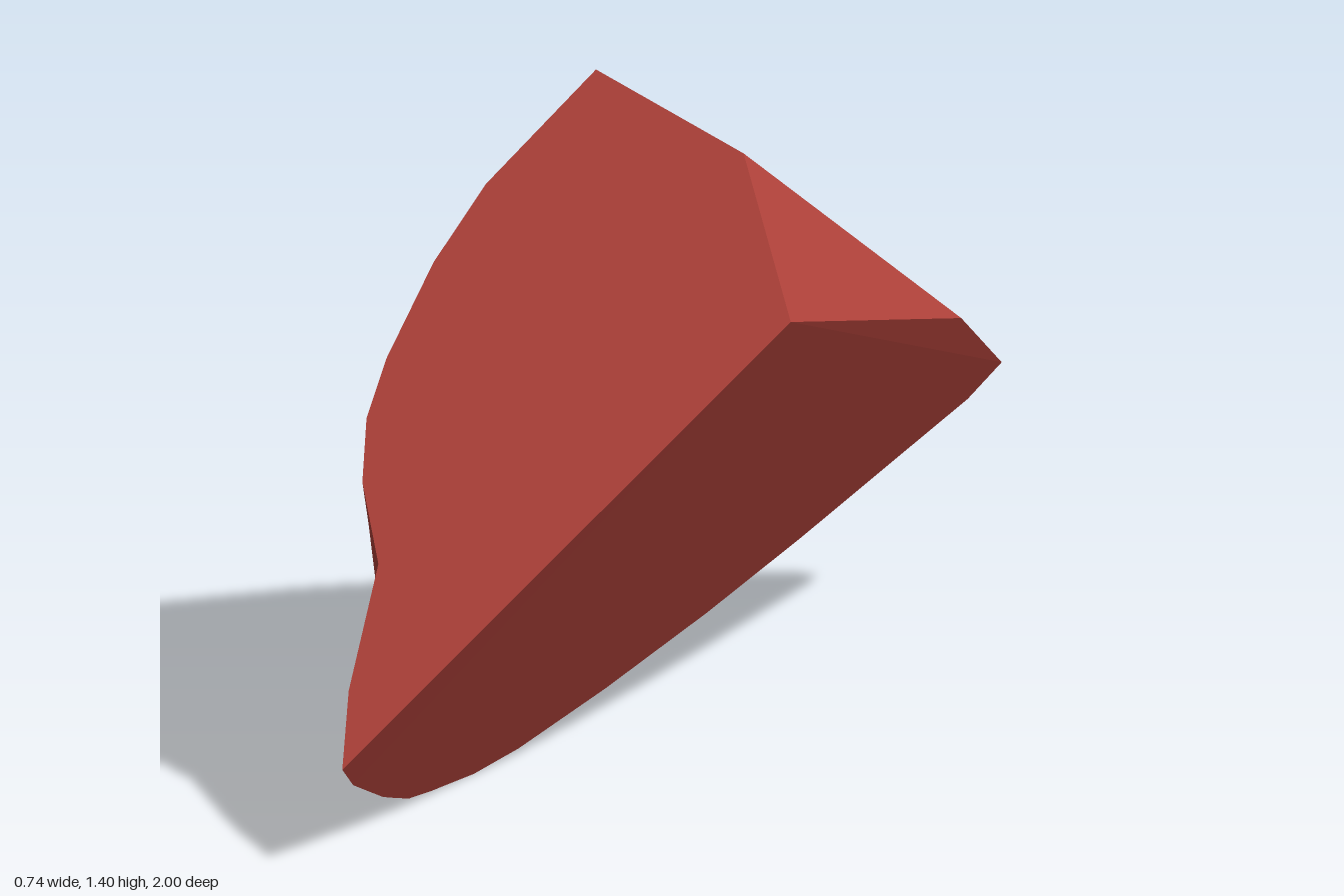
import * as THREE from 'three';
import { mergeVertices } from 'three/addons/utils/BufferGeometryUtils.js';

const V = (x, y, z) => new THREE.Vector3(x, y, z);

// Corners of the broken shard
const ridge = V(0.09, 1.3, -0.09);
const shoulder = V(0.37, 1.035, 0);
const rearNotch = V(-0.04, 0.77, -0.74);
const frontTip = V(0.185, 0.23, 1);
const backTip = V(-0.25, 0.56, -1);

// The cut planes that bound the weathered skin
const sideX = (y, z) => 0.37 + 0.629 * (y - 1.035) + 0.321 * z;
const frontY = (x, z) => 1.035 - (z + 0.702 * (x - 0.37)) / 1.081;
const topY = (x, z) => 1.41 - 0.032 * (x + 0.25) + 0.825 * (z - 0.03);

// Skin cross-sections: z, lowest y, then x at rising heights up to the rim
const heights = [0.25, 0.45, 0.65, 0.85, 1];
const sections = [
  [-0.93, 0.49, -0.272, -0.277, -0.282, -0.285, -0.285],
  [-0.73, 0.395, -0.29, -0.315, -0.335, -0.343, -0.34],
  [-0.5, 0.285, -0.315, -0.355, -0.365, -0.358, -0.34],
  [-0.25, 0.18, -0.298, -0.363, -0.374, -0.348, -0.315],
  [0.03, 0.085, -0.28, -0.362, -0.358, -0.312, -0.25],
  [0.28, 0.02, -0.205, -0.3, -0.335, -0.32, -0.29],
  [0.42, 0.005, -0.155, -0.225, -0.295, -0.3, -0.28],
  [0.57, 0.015, -0.098, -0.125, -0.18, -0.23, -0.24],
  [0.65, 0.025, -0.062, -0.078, -0.12, -0.175, -0.2],
  [0.713, 0.05, -0.025, -0.035, -0.06, -0.105, -0.13],
  [0.766, 0.072, 0.007, 0.005, 0, -0.003, -0.005],
  [0.92, 0.16, 0.113, 0.11, 0.107, 0.103, 0.1],
];
const PEAK = 5; // row of the topmost corner, counting the back tip
const STEPS = 12;

function skinRows() {
  const rows = sections.map(([z, low, ...xs]) => {
    const rimX = xs[xs.length - 1];
    const high = z <= 0.03 ? topY(rimX, z) : frontY(rimX, z);
    const pts = [V(sideX(low, z), low, z)];
    xs.forEach((x, i) => pts.push(V(x, low + (high - low) * heights[i], z)));
    return new THREE.CatmullRomCurve3(pts).getPoints(STEPS);
  });
  const tip = (p) => Array.from({ length: STEPS + 1 }, () => p.clone());
  return [tip(backTip), ...rows, tip(frontTip)];
}

function skinGeometry(rows) {
  const index = [];
  const w = STEPS + 1;
  for (let i = 0; i < rows.length - 1; i++) {
    for (let j = 0; j < STEPS; j++) {
      const a = i * w + j;
      const b = a + w;
      if (i > 0) index.push(a, b, a + 1);
      if (i < rows.length - 2) index.push(b, b + 1, a + 1);
    }
  }
  const geo = new THREE.BufferGeometry().setFromPoints(rows.flat());
  geo.setIndex(index);
  const merged = mergeVertices(geo);
  merged.computeVertexNormals();
  return merged;
}

// Flat face fanned out from its first corner, counter-clockwise
function fan(hub, rim) {
  const pts = [];
  for (let i = 0; i < rim.length - 1; i++) pts.push(hub, rim[i], rim[i + 1]);
  const geo = new THREE.BufferGeometry().setFromPoints(pts);
  geo.computeVertexNormals();
  return geo;
}

export function createModel() {
  const group = new THREE.Group();
  group.name = 'rockShard';
  const stone = new THREE.MeshStandardMaterial({ color: 0xb0423a });
  stone.name = 'red stone';
  const add = (name, geo) => {
    const mesh = new THREE.Mesh(geo, stone);
    mesh.name = name;
    group.add(mesh);
  };

  const rows = skinRows();
  const lower = rows.map((r) => r[0]);
  const upper = rows.map((r) => r[STEPS]);

  // Smooth weathered skin and the flat fractures behind it
  add('weatheredSkin', skinGeometry(rows));
  add('sideFracture', fan(shoulder, [...lower.reverse(), rearNotch]));
  add('frontFracture', fan(shoulder, [ridge, ...upper.slice(PEAK)]));
  add('topFracture', fan(ridge, [rearNotch, ...upper.slice(0, PEAK + 1)]));
  add('rearChip', fan(ridge, [shoulder, rearNotch]));
  return group;
}
